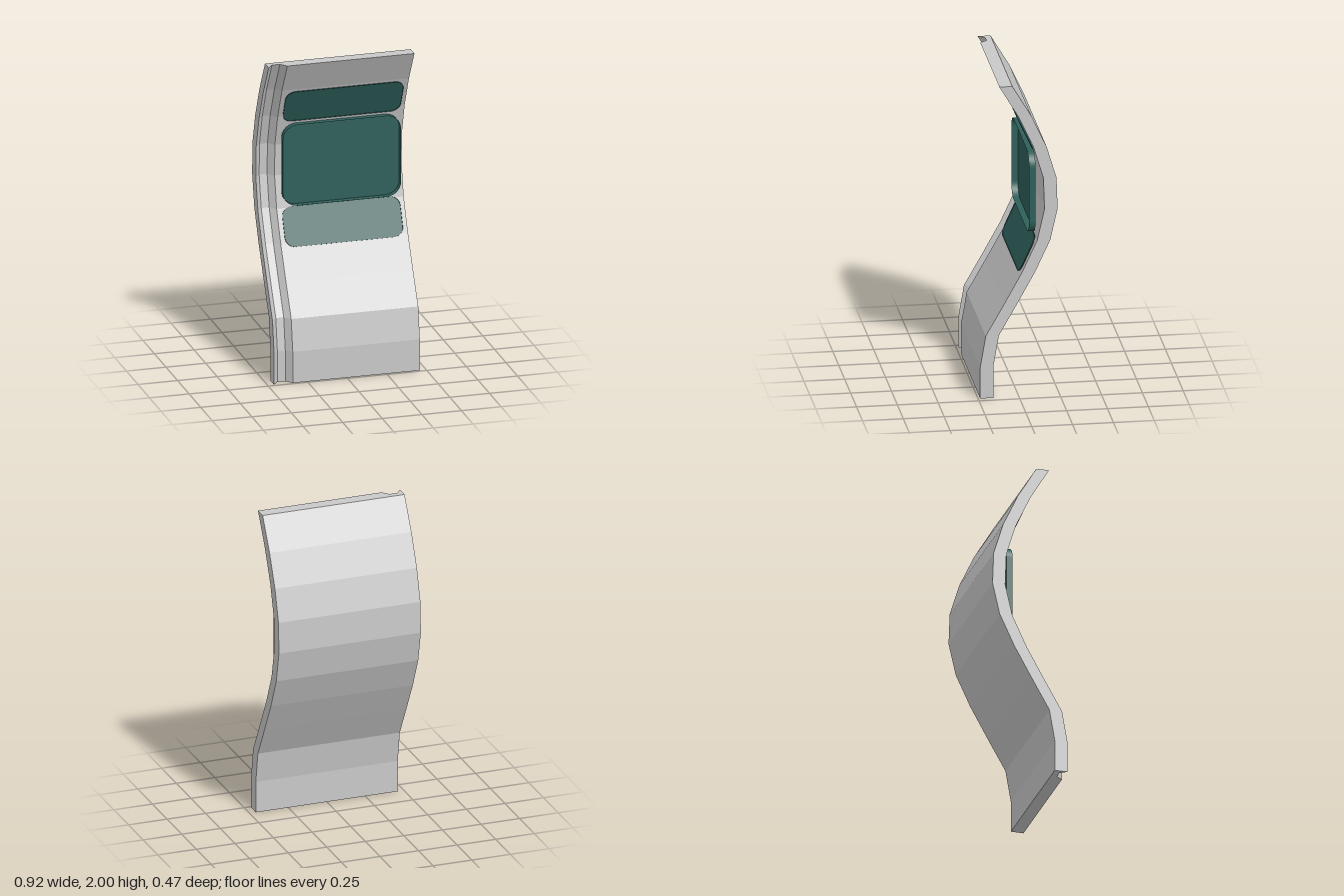
import * as THREE from 'three';

const grey = new THREE.MeshStandardMaterial({ color: 0xc8c8c8 });
grey.name = 'lightGrey';
const teal = new THREE.MeshStandardMaterial({ color: 0x2e5f5a, side: THREE.DoubleSide });
teal.name = 'darkTeal';

// Front surface z at every 0.2 of height
const FRONT_Z = [0.237, 0.237, 0.203, 0.09, -0.02, -0.112, -0.157, -0.15, -0.09, 0.002, 0.12];

// Curved wall panel: grooved cross-section extruded upwards, then bent row by row
function wallPanel() {
  const section = [
    [-0.46, 0], [-0.427, 0.042], [-0.377, 0.042], [-0.342, 0], [0.46, 0], [0.46, 0.08], [-0.46, 0.08],
  ].map(([x, depth]) => new THREE.Vector2(x, depth));
  let geo = new THREE.ExtrudeGeometry(new THREE.Shape(section), { depth: 2, steps: 10, bevelEnabled: false });
  geo.rotateX(-Math.PI / 2);
  if (geo.index) geo = geo.toNonIndexed();
  const pos = geo.attributes.position;
  for (let i = 0; i < pos.count; i++) {
    pos.setZ(i, pos.getZ(i) + FRONT_Z[Math.round(pos.getY(i) / 0.2)]);
  }
  geo.computeVertexNormals();
  const mesh = new THREE.Mesh(geo, grey);
  mesh.name = 'wallPanel';
  return mesh;
}

function roundedRect(w, h, r) {
  const s = new THREE.Shape();
  const x = w / 2 - r, y = h / 2 - r;
  s.absarc(x, y, r, 0, Math.PI / 2);
  s.absarc(-x, y, r, Math.PI / 2, Math.PI);
  s.absarc(-x, -y, r, Math.PI, Math.PI * 1.5);
  s.absarc(x, -y, r, Math.PI * 1.5, Math.PI * 2);
  s.closePath();
  return s;
}

// Shallow open-fronted window: rounded pane at the back with a thin rim
function windowTray(name, w, h, r, depth) {
  const shape = roundedRect(w, h, r);
  const group = new THREE.Group();
  group.name = name;
  const pane = new THREE.Mesh(new THREE.ShapeGeometry(shape, 8), teal);
  pane.name = 'pane';
  pane.position.z = -depth;
  const pts = shape.getPoints(8);
  const rimGeo = new THREE.PlaneGeometry(1, 1, pts.length - 1, 1);
  const pos = rimGeo.attributes.position;
  for (let i = 0; i < pos.count; i++) {
    const p = pts[i % pts.length];
    pos.setXYZ(i, p.x, p.y, i < pts.length ? 0 : -depth);
  }
  rimGeo.computeVertexNormals();
  const rim = new THREE.Mesh(rimGeo, teal);
  rim.name = 'rim';
  group.add(pane, rim);
  return group;
}

export function createModel() {
  const model = new THREE.Group();
  model.name = 'curvedWindowPanel';
  model.add(wallPanel());

  // Windows: name, height, corner radius, depth, centre y, front z, tilt
  const windows = [
    ['upperWindow', 0.246, 0.06, 0.006, 1.674, -0.042, Math.atan2(0.102, 0.22)],
    ['middleWindow', 0.52, 0.09, 0.04, 1.285, -0.066, 0],
    ['lowerWindow', 0.247, 0.06, 0.006, 0.898, -0.053, -Math.atan2(0.102, 0.225)],
  ];
  for (const [name, h, r, depth, y, z, tilt] of windows) {
    const tray = windowTray(name, 0.744, h, r, depth);
    tray.position.set(0.058, y, z);
    tray.rotation.x = tilt;
    model.add(tray);
  }
  return model;
}
